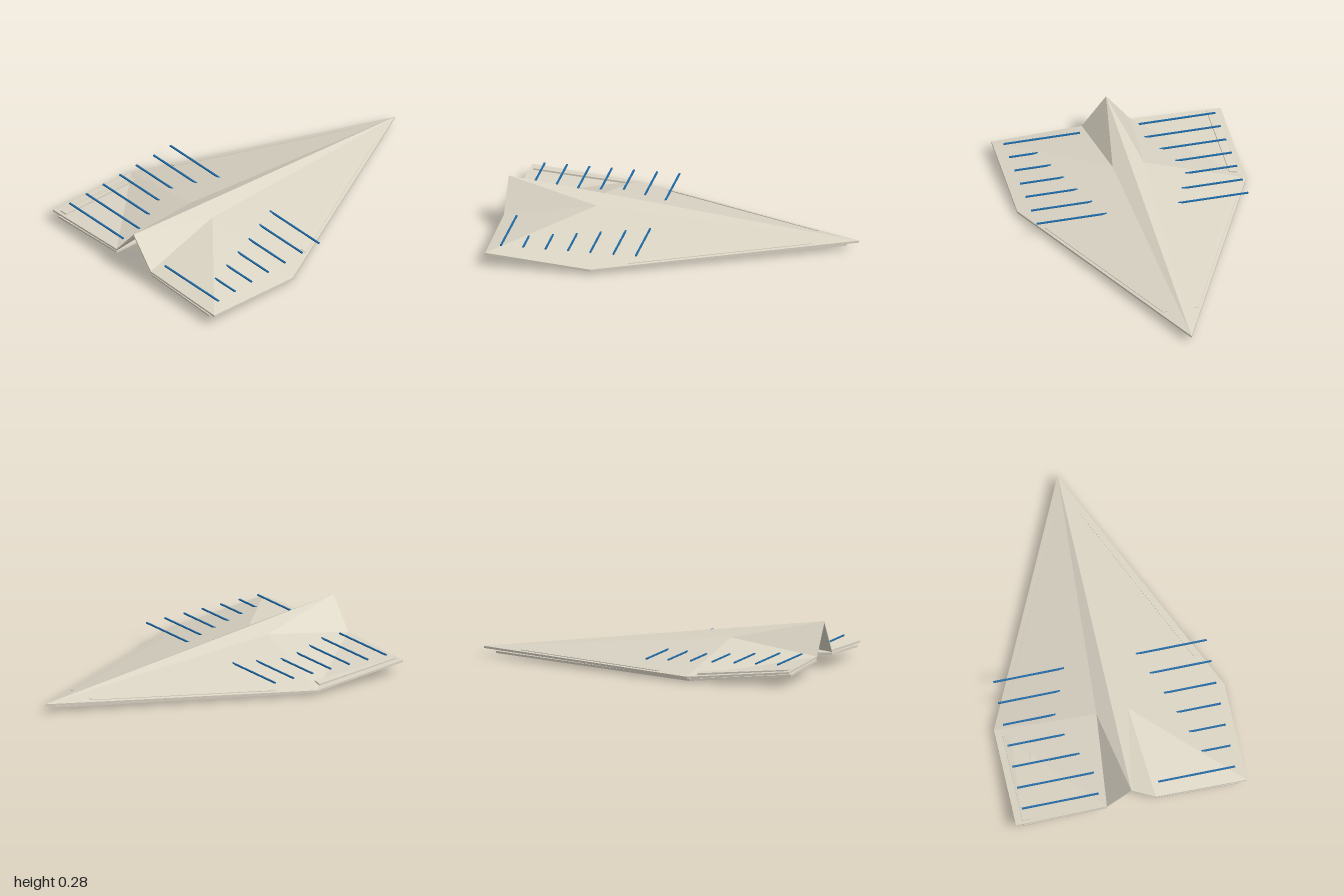
import * as THREE from 'three';

const paper = new THREE.MeshStandardMaterial({ color: 0xdad4c4, side: THREE.DoubleSide });
paper.name = 'paper';
const blue = new THREE.MeshStandardMaterial({ color: 0x1f6aa5 });
blue.name = 'blue ruling';

// Thin folded sheet: outline points (counter-clockwise from above), triangles,
// and a thickness measured straight down. side = -1 mirrors it across z.
function sheet(name, points, triangles, thickness, side) {
  const top = points.map(([x, y, z]) => new THREE.Vector3(x, y, z * side));
  const low = top.map((p) => p.clone().setY(p.y - thickness));
  const out = [];
  const tri = (a, b, c) => {
    for (const p of side > 0 ? [a, b, c] : [a, c, b]) out.push(p.x, p.y, p.z);
  };
  for (const [a, b, c] of triangles) {
    tri(top[a], top[b], top[c]);
    tri(low[a], low[c], low[b]);
  }
  top.forEach((p, i) => {
    const j = (i + 1) % top.length;
    tri(p, low[i], top[j]);
    tri(low[i], low[j], top[j]);
  });
  const geometry = new THREE.BufferGeometry();
  geometry.setAttribute('position', new THREE.Float32BufferAttribute(out, 3));
  geometry.computeVertexNormals();
  const mesh = new THREE.Mesh(geometry, paper);
  mesh.name = name;
  return mesh;
}

export function createModel() {
  const model = new THREE.Group();
  model.name = 'paperPlane';

  // Shared fold corners
  const nose = [1, 0.055, 0];
  const ridgeRear = [-1, 0.282, 0];
  const foldPeak = [-0.48, 0.18, 0.09];
  const foldRear = [-1, 0.1, 0.14];
  const tipRear = [-1, 0.083, 0.66];
  const tipFront = [-0.4, 0.031, 0.66];
  const quad = [[0, 1, 2], [0, 2, 3]];

  for (const side of [1, -1]) {
    const half = new THREE.Group();
    half.name = side > 0 ? 'frontHalf' : 'backHalf';
    model.add(half);

    // Central ridge
    half.add(sheet('ridge', [nose, ridgeRear, foldRear, foldPeak],
      [[0, 1, 3], [1, 2, 3]], 0.012, side));

    // Upper wing, creased along a different diagonal on each side
    const creases = side > 0
      ? [[0, 1, 4], [1, 3, 4], [1, 2, 3]]
      : [[0, 1, 4], [1, 2, 4], [2, 3, 4]];
    half.add(sheet('upperWing', [nose, foldPeak, foldRear, tipRear, tipFront],
      creases, 0.012, side));

    // Lower wing layer
    half.add(sheet('lowerWing',
      [[0.93, 0.03, 0], [-1, 0.084, 0.14], [-1, 0.063, 0.615], [-0.4, 0.013, 0.615]],
      quad, 0.012, side));

    // Folded strip along the leading edge
    half.add(sheet('leadingEdgeFold',
      [[0.75, 0.064, 0.075], [-0.2, 0.05, 0.52], [-0.2, 0.042, 0.55], [0.75, 0.058, 0.1]],
      quad, 0.006, side));

    // Folded strip near the wing tip
    const lift = side > 0 ? 0 : 0.004;
    half.add(sheet('tipFold',
      [[-0.45, 0.05 + lift, 0.575], [-0.98, 0.088 + lift, 0.575],
        [-0.98, 0.086 + lift, 0.62], [-0.45, 0.043 + lift, 0.62]],
      quad, 0.01, side));

    // Ruled lines, partly sunk into the wing
    for (const x of [-0.92, -0.793, -0.665, -0.537, -0.41, -0.278, -0.15]) {
      const line = new THREE.Mesh(new THREE.BoxGeometry(0.01, 0.007, 0.44), blue);
      line.name = 'ruledLine';
      line.position.set(x, 0.115, side * 0.39);
      half.add(line);
    }
  }
  return model;
}
